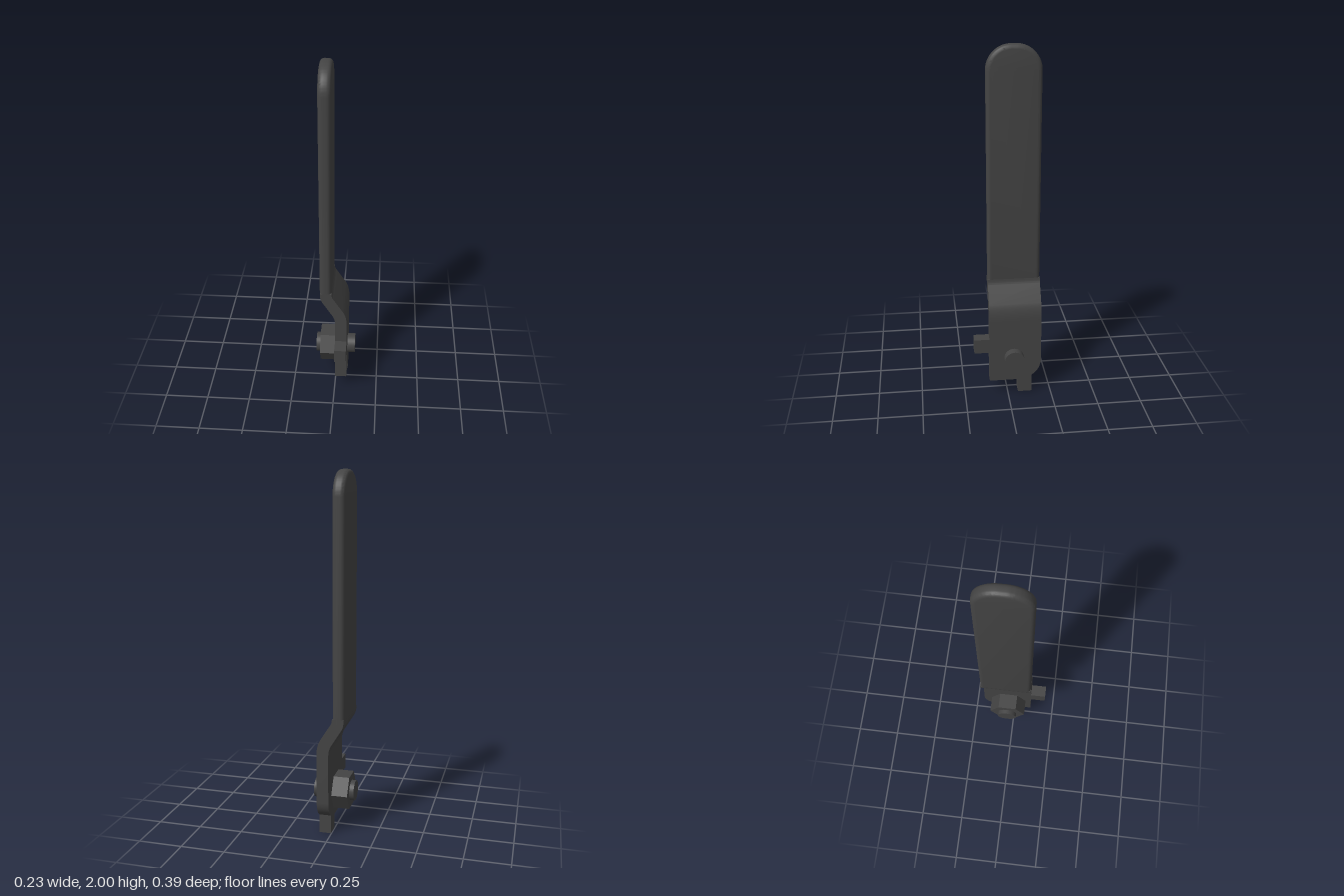
import * as THREE from 'three';
import { toCreasedNormals } from 'three/addons/utils/BufferGeometryUtils.js';

const BACK = -0.193, FRONT = 0.105; // z limits of the strip
const material = new THREE.MeshStandardMaterial({ color: 0x444444 });

function addMesh(group, name, geometry) {
  const mesh = new THREE.Mesh(geometry, material);
  mesh.name = name;
  group.add(mesh);
}

// Extrudes an outline drawn in (z, y) so that it fills x0..x1
function extrudeAlongX(shape, x0, x1, bevel = 0) {
  const geometry = new THREE.ExtrudeGeometry(shape, {
    depth: x1 - x0 - 2 * bevel, curveSegments: 14,
    bevelEnabled: bevel > 0, bevelSize: bevel, bevelThickness: bevel,
    bevelOffset: -bevel, bevelSegments: 4,
  });
  geometry.rotateY(-Math.PI / 2).translate(x1 - bevel, 0, 0);
  return toCreasedNormals(geometry, 0.6);
}

// Cylinder or prism along x, centred on the pivot
function pivotCylinder(radius, x0, x1, sides) {
  const geometry = new THREE.CylinderGeometry(radius, radius, x1 - x0, sides);
  geometry.rotateZ(Math.PI / 2).translate((x0 + x1) / 2, 0.23, -0.036);
  return geometry;
}

export function createModel() {
  const lever = new THREE.Group();
  lever.name = 'lever';

  // Flat foot plate with a stop tab in front and a prong below
  const plate = new THREE.Shape();
  plate.moveTo(FRONT, 0.083);
  plate.lineTo(FRONT, 0.27);
  plate.lineTo(0.193, 0.27);
  plate.lineTo(0.193, 0.355);
  plate.lineTo(FRONT, 0.355);
  plate.lineTo(FRONT, 0.47);
  plate.lineTo(BACK, 0.47);
  plate.lineTo(BACK, 0.21);
  plate.quadraticCurveTo(BACK, 0.145, -0.14, 0.108);
  plate.lineTo(-0.14, 0);
  plate.lineTo(-0.06, 0);
  plate.lineTo(-0.06, 0.083);
  plate.closePath();
  addMesh(lever, 'mountingPlate', extrudeAlongX(plate, 0.003, 0.07));

  // S-bend joining plate and grip, profile in (x, y)
  const bend = new THREE.Shape();
  bend.moveTo(0.003, 0.47);
  bend.quadraticCurveTo(0.003, 0.51, -0.01, 0.535);
  bend.lineTo(-0.066, 0.625);
  bend.quadraticCurveTo(-0.083, 0.65, -0.083, 0.69);
  bend.lineTo(-0.018, 0.69);
  bend.quadraticCurveTo(-0.017, 0.67, -0.01, 0.66);
  bend.lineTo(0.05, 0.565);
  bend.quadraticCurveTo(0.07, 0.53, 0.07, 0.47);
  bend.closePath();
  const neck = new THREE.ExtrudeGeometry(bend, {
    depth: FRONT - BACK, bevelEnabled: false, curveSegments: 8,
  });
  neck.translate(0, 0, BACK);
  addMesh(lever, 'bentNeck', toCreasedNormals(neck, 0.6));

  // Long grip with softened edges and a rounded top
  const r = 0.135;
  const grip = new THREE.Shape();
  grip.moveTo(BACK, 0.665);
  grip.lineTo(FRONT, 0.665);
  grip.lineTo(FRONT, 2 - r);
  grip.absarc(FRONT - r, 2 - r, r, 0, Math.PI / 2);
  grip.absarc(BACK + r, 2 - r, r, Math.PI / 2, Math.PI);
  grip.closePath();
  addMesh(lever, 'grip', extrudeAlongX(grip, -0.085, -0.018, 0.023));

  // Pivot bolt and hexagonal nut
  addMesh(lever, 'pivotBolt', pivotCylinder(0.057, -0.115, 0.115, 32));
  addMesh(lever, 'hexNut', toCreasedNormals(pivotCylinder(0.108, -0.09, 0, 6), 0.5));

  return lever;
}
